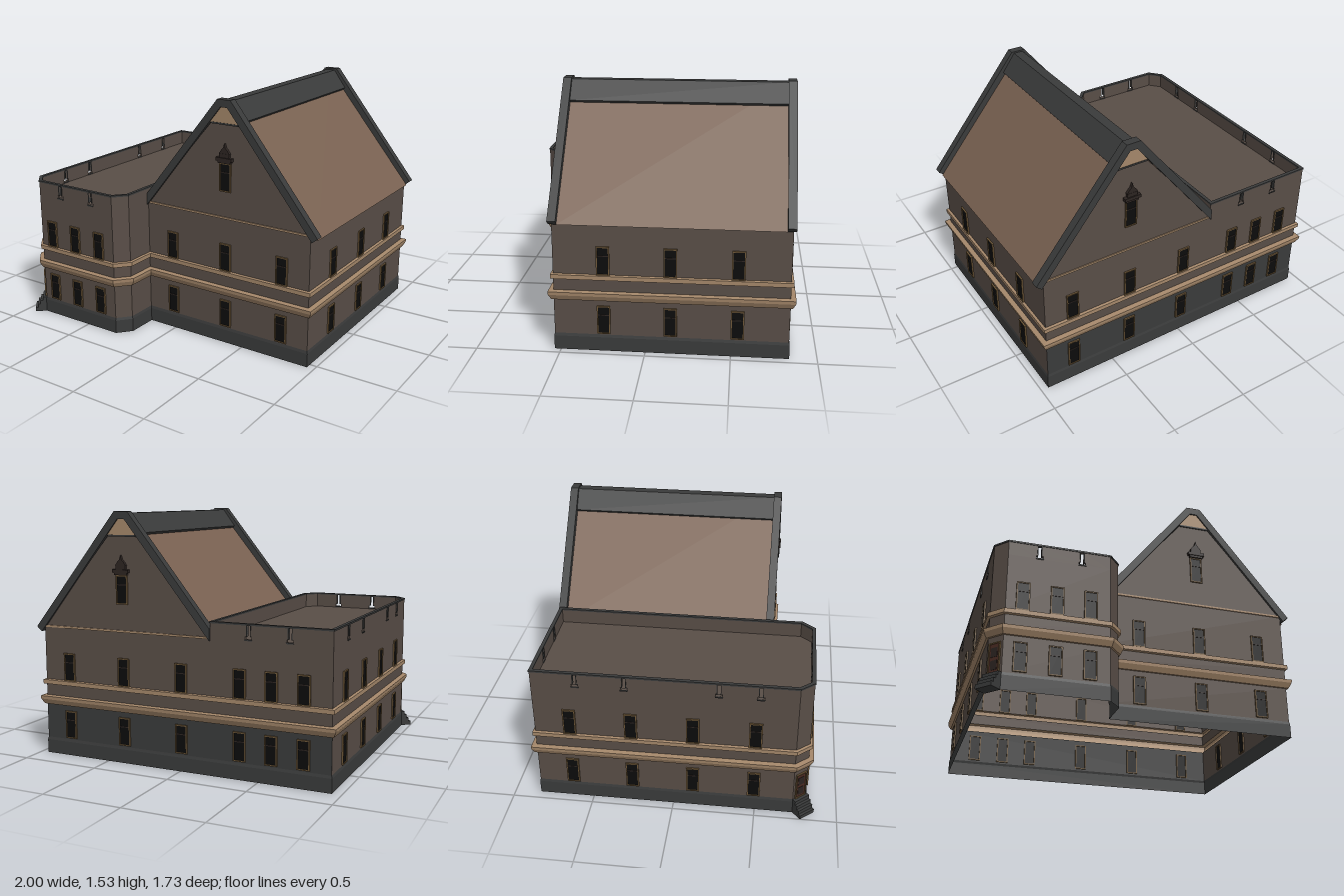
import * as THREE from 'three';

const mat = (color) => new THREE.MeshStandardMaterial({ color, side: THREE.DoubleSide, flatShading: true });
const M = {
  wall: mat(0x594e47), dark: mat(0x3a3b3b), trim: mat(0xa4876a), roof: mat(0x7a6252),
  frame: mat(0x6e5738), glass: mat(0x0c0c0c), wood: mat(0x4a2b22), carving: mat(0x2c2421),
};

// Footprints as [x, z], running along the back first
const TOWER_FRONT = [[-0.2, 0.73], [-0.27, 0.81], [-0.87, 0.81], [-0.94, 0.73]];
const HOUSE = [[-0.94, -0.835], [0.95, -0.835], [0.95, 0.535], [-0.2, 0.535], ...TOWER_FRONT];
const TOWER = [[-0.94, -0.835], [-0.2, -0.835], ...TOWER_FRONT];
const RIDGE = 0.375;

function mesh(name, geometry, material, parent, x = 0, y = 0, z = 0) {
  const m = new THREE.Mesh(geometry, material);
  m.name = name;
  m.position.set(x, y, z);
  parent.add(m);
  return m;
}
const box = (name, w, h, d, material, parent, x, y, z) =>
  mesh(name, new THREE.BoxGeometry(w, h, d), material, parent, x, y, z);
const shapeOf = (pts) => new THREE.Shape(pts.map(([x, y]) => new THREE.Vector2(x, y)));
const extrude = (shape, depth) => new THREE.ExtrudeGeometry(shape, { depth, bevelEnabled: false });

// Outward normal of edge i of a footprint
function edgeNormal(pts, i) {
  const a = pts[i], b = pts[(i + 1) % pts.length];
  const dx = b[0] - a[0], dz = b[1] - a[1], l = Math.hypot(dx, dz);
  return [dz / l, -dx / l];
}
// Footprint grown outwards with mitred corners
function grow(pts, off) {
  return pts.map(([x, z], i) => {
    const p = edgeNormal(pts, (i + pts.length - 1) % pts.length), n = edgeNormal(pts, i);
    const k = off / (1 + p[0] * n[0] + p[1] * n[1]);
    return [x + (p[0] + n[0]) * k, z + (p[1] + n[1]) * k];
  });
}
// Sweeps a profile of [offset, y] around a footprint; keep() selects edges
function sweep(pts, profile, keep = () => true) {
  const pos = [];
  for (let k = 0; k + 1 < profile.length; k++) {
    const lo = grow(pts, profile[k][0]), hi = grow(pts, profile[k + 1][0]);
    const y0 = profile[k][1], y1 = profile[k + 1][1];
    pts.forEach((_, i) => {
      if (!keep(i)) return;
      const j = (i + 1) % pts.length;
      const a = [lo[i][0], y0, lo[i][1]], b = [lo[j][0], y0, lo[j][1]];
      const c = [hi[j][0], y1, hi[j][1]], d = [hi[i][0], y1, hi[i][1]];
      pos.push(...b, ...a, ...d, ...b, ...d, ...c);
    });
  }
  const g = new THREE.BufferGeometry();
  g.setAttribute('position', new THREE.Float32BufferAttribute(pos, 3));
  g.computeVertexNormals();
  return g;
}
// Group whose local +z faces out of a wall
function facing(name, parent, x, y, z, nx, nz) {
  const g = new THREE.Group();
  g.name = name;
  g.position.set(x, y, z);
  g.rotation.y = Math.atan2(nx, nz);
  parent.add(g);
  return g;
}
function rectFrame(w, h, t) {
  const s = shapeOf([[-w / 2, -h / 2], [w / 2, -h / 2], [w / 2, h / 2], [-w / 2, h / 2]]);
  const a = w / 2 - t, b = h / 2 - t;
  s.holes.push(shapeOf([[-a, -b], [-a, b], [a, b], [a, -b]]));
  return extrude(s, 0.02);
}
function addWindow(parent, x, y, z, nx, nz) {
  const g = facing('window', parent, x, y, z, nx, nz);
  mesh('windowFrame', rectFrame(0.078, 0.175, 0.007), M.frame, g, 0, 0, -0.01);
  box('windowGlass', 0.066, 0.163, 0.008, M.glass, g, 0, 0, 0.001);
  box('windowBar', 0.064, 0.006, 0.006, M.carving, g, 0, 0.03, 0.005);
}

function addWalls(g) {
  const walls = (y0, y1, keep) => sweep(HOUSE, [[0, y0], [0, y1]], keep);
  mesh('plinth', sweep(HOUSE, [[0.004, 0], [0.004, 0.085], [0, 0.102]]), M.dark, g);
  mesh('lowerWalls', walls(0.1, 0.32, (i) => i !== 0), M.wall, g);
  mesh('lowerBackWall', walls(0.1, 0.32, (i) => i === 0), M.dark, g);
  mesh('cornice', sweep(HOUSE, [[0, 0.32], [0.012, 0.32], [0.028, 0.352], [0.03, 0.372], [0, 0.376]]), M.trim, g);
  mesh('middleWalls', walls(0.376, 0.445), M.wall, g);
  mesh('sillBand', sweep(HOUSE, [[0, 0.445], [0.015, 0.449], [0.015, 0.475], [0, 0.479]]), M.trim, g);
  mesh('upperWalls', walls(0.479, 0.82), M.wall, g);

  // Two storeys of windows on every long wall
  for (const y of [0.198, 0.565]) {
    for (const x of [-0.775, -0.58, -0.385]) {
      addWindow(g, x, y, 0.81, 0, 1);
      addWindow(g, x, y, -0.835, 0, -1);
    }
    for (const x of [-0.01, 0.38, 0.77]) {
      addWindow(g, x, y, 0.535, 0, 1);
      addWindow(g, x, y, -0.835, 0, -1);
    }
    for (const z of [0.242, -0.147, -0.536]) addWindow(g, 0.95, y, z, 1, 0);
    for (const z of [-0.62, -0.25, 0.12, 0.49]) addWindow(g, -0.94, y, z, -1, 0);
  }
}

function addTowerTop(g) {
  const floor = new THREE.ShapeGeometry(shapeOf(TOWER.map(([x, z]) => [x, -z]))).rotateX(-Math.PI / 2);
  mesh('towerRoof', floor, M.wall, g, 0, 0.815, 0);
  // Parapet panels with keyhole slits, given as world x or z per edge
  const slits = { 0: [-0.69, -0.44], 3: [-0.69, -0.44], 5: [-0.57, -0.28, 0.27, 0.51] };
  TOWER.forEach((a, i) => {
    const b = TOWER[(i + 1) % TOWER.length], [nx, nz] = edgeNormal(TOWER, i);
    const len = Math.hypot(b[0] - a[0], b[1] - a[1]);
    const p = facing('parapet', g, (a[0] + b[0]) / 2, 0.815, (a[1] + b[1]) / 2, nx, nz);
    const s = shapeOf([[-len / 2, 0], [len / 2, 0], [len / 2, 0.09], [-len / 2, 0.09]]);
    for (const v of slits[i] || []) {
      const c = i === 5 ? v - p.position.z : (v - p.position.x) * nz;
      s.holes.push(shapeOf([[c - 0.02, 0.008], [c - 0.02, 0.024], [c - 0.01, 0.024], [c - 0.01, 0.088],
        [c + 0.01, 0.088], [c + 0.01, 0.024], [c + 0.02, 0.024], [c + 0.02, 0.008]]));
      for (const e of [-1, 1]) box('slitJamb', 0.004, 0.065, 0.024, M.dark, p, c + e * 0.012, 0.056, -0.008);
      box('slitSill', 0.046, 0.007, 0.026, M.dark, p, c, 0.004, -0.007);
    }
    mesh('parapetPanel', extrude(s, 0.016), M.wall, p, 0, 0, -0.016);
  });
  mesh('coping', sweep(TOWER, [[-0.018, 0.903], [0.004, 0.903], [0.004, 0.913], [-0.018, 0.913], [-0.018, 0.903]]), M.dark, g);
}

function addRoof(g) {
  const span = (pts) => extrude(shapeOf(pts), 1.3);
  mesh('roof', span([[-0.2, 0.82], [RIDGE, 1.518], [0.98, 0.785], [0.96, 0.785], [RIDGE, 1.49], [-0.2, 0.795]]), M.roof, g, 0, 0, -0.8);
  mesh('ridgeCap', span([[0.28, 1.38], [0.26, 1.405], [0.345, 1.52], [0.405, 1.52], [0.49, 1.405], [0.47, 1.38], [RIDGE, 1.48]]), M.dark, g, 0, 0, -0.8);

  // Gable end, built for the front and mirrored to the back
  const end = new THREE.Group();
  end.name = 'frontGable';
  mesh('gableWall', new THREE.ShapeGeometry(shapeOf([[-0.2, 0.82], [0.95, 0.82], [RIDGE, 1.5]])), M.wall, end, 0, 0, 0.535);
  const verge = shapeOf([[0.33, 1.53], [-0.2, 0.873], [-0.2, 0.801], [0.352, 1.485], [0.398, 1.485],
    [0.965, 0.782], [1, 0.811], [0.42, 1.53]]);
  mesh('verge', extrude(verge, 0.05), M.dark, end, 0, 0, 0.5);
  mesh('gablePanel', extrude(shapeOf([[0.275, 1.39], [0.475, 1.39], [0.398, 1.487], [0.352, 1.487]]), 0.006), M.trim, end, 0, 0, 0.535);
  box('gablePanelSill', 0.19, 0.01, 0.012, M.dark, end, RIDGE, 1.387, 0.538);
  box('gableBand', 1.15, 0.012, 0.014, M.trim, end, 0.375, 0.816, 0.535);
  addWindow(end, 0.38, 1.067, 0.535, 0, 1);
  // Carved hood over the gable window
  const hood = facing('windowHood', end, 0.38, 1.155, 0.54, 0, 1);
  box('hoodBase', 0.085, 0.014, 0.03, M.carving, hood, 0, 0.007, 0);
  box('hoodLedge', 0.107, 0.02, 0.04, M.carving, hood, 0, 0.024, 0);
  box('hoodBlock', 0.066, 0.024, 0.026, M.carving, hood, 0, 0.046, 0);
  mesh('hoodCrest', extrude(shapeOf([[-0.036, 0.058], [0.036, 0.058], [0.02, 0.08], [0.008, 0.092], [0, 0.118],
    [-0.008, 0.092], [-0.02, 0.08]]), 0.02), M.carving, hood, 0, 0, -0.008);
  g.add(end);
  const back = end.clone();
  back.name = 'backGable';
  back.scale.z = -1;
  back.position.z = -0.3;
  g.add(back);
}

// Door and steps on the cut corner of the tower
function addEntrance(g) {
  const [nx, nz] = edgeNormal(HOUSE, 6);
  const e = facing('entrance', g, -0.905, 0, 0.77, nx, nz);
  mesh('doorFrame', rectFrame(0.078, 0.18, 0.007), M.frame, e, 0, 0.192, -0.01);
  box('door', 0.066, 0.17, 0.01, M.wood, e, 0, 0.19, 0);
  for (const y of [0.15, 0.225]) box('doorPanel', 0.044, 0.055, 0.006, M.carving, e, 0, y, 0.004);
  for (let i = 0; i < 4; i++) {
    const h = 0.025 * (i + 1), d = 0.078 - 0.017 * i;
    box('step', 0.11, h, d, M.dark, e, 0, h / 2, d / 2);
  }
}

export function createModel() {
  const g = new THREE.Group();
  g.name = 'house';
  addWalls(g);
  addTowerTop(g);
  addRoof(g);
  addEntrance(g);
  return g;
}
